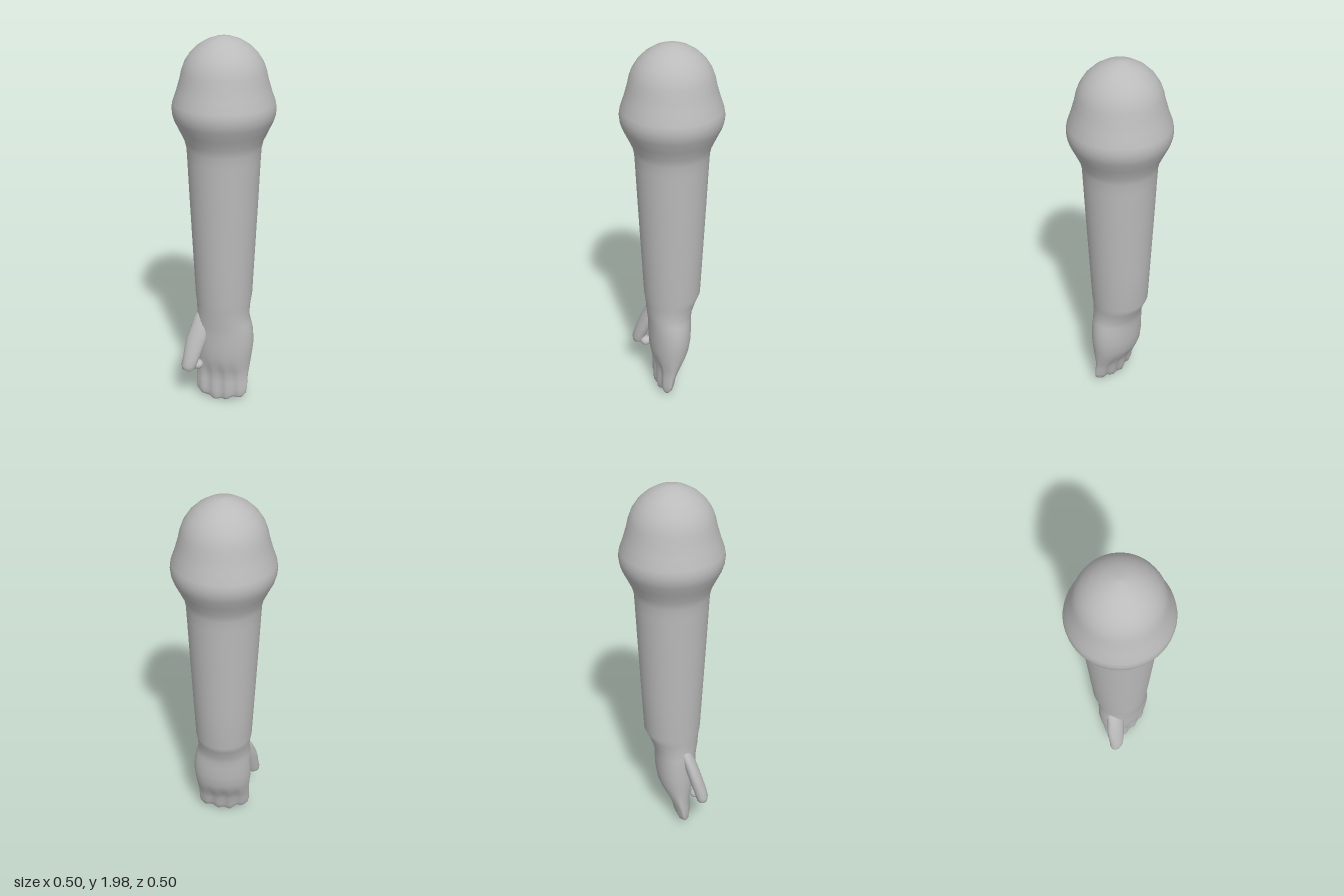
import * as THREE from 'three';

// Smooth skin over rings [y, centreX, centreZ, radiusX, radiusZ], listed from bottom to top
function loft(rings, sides, bend = () => {}) {
  const pos = [], index = [], v = new THREE.Vector3();
  rings.forEach(([y, cx, cz, rx, rz]) => {
    for (let j = 0; j < sides; j++) {
      const a = (j / sides) * Math.PI * 2;
      v.set(cx + rx * Math.cos(a), y, cz + rz * Math.sin(a));
      bend(v, cz);
      pos.push(v.x, v.y, v.z);
    }
  });
  for (let i = 0; i < rings.length - 1; i++) {
    for (let j = 0; j < sides; j++) {
      const k = (j + 1) % sides;
      const a = i * sides + j, b = i * sides + k, c = a + sides, d = b + sides;
      index.push(a, c, d, a, d, b);
    }
  }
  const geo = new THREE.BufferGeometry();
  geo.setAttribute('position', new THREE.Float32BufferAttribute(pos, 3));
  geo.setIndex(index);
  geo.computeVertexNormals();
  return geo;
}

export function createModel() {
  const group = new THREE.Group();
  const grey = new THREE.MeshStandardMaterial({ color: 0xbbbbbb });
  grey.name = 'plain grey';
  const add = (name, geo) => {
    const mesh = new THREE.Mesh(geo, grey);
    mesh.name = name;
    group.add(mesh);
  };

  // Domed shoulder, flared cuff and tapering sleeve, round in section
  const sleeve = [
    [0.54, 0.139], [0.6, 0.142], [0.65, 0.149], [0.9, 0.16], [1.2, 0.173], [1.4, 0.181],
    [1.46, 0.184], [1.5, 0.193], [1.55, 0.216], [1.6, 0.24], [1.63, 0.249], [1.66, 0.252],
    [1.69, 0.247], [1.74, 0.229], [1.8, 0.211], [1.84, 0.202], [1.88, 0.187], [1.92, 0.161],
    [1.955, 0.124], [1.98, 0.083], [1.995, 0.04], [2, 0.001],
  ].map(([y, r]) => {
    // the wrist end narrows at the back
    const t = Math.max(0, (0.65 - y) / 0.11);
    return [y, 0, 0.017 * t, r, r - 0.018 * t];
  });

  // Palm flattening into four webbed fingers
  const hand = [
    [0.035, 0, 0.066, 0.001, 0.001], [0.035, 0, 0.066, 0.08, 0.009], [0.04, 0, 0.063, 0.118, 0.022],
    [0.055, 0, 0.058, 0.136, 0.034], [0.09, 0, 0.053, 0.142, 0.042], [0.14, 0, 0.047, 0.142, 0.046],
    [0.18, 0, 0.038, 0.143, 0.056], [0.22, 0.003, 0.032, 0.145, 0.072], [0.26, 0.005, 0.026, 0.148, 0.09],
    [0.31, 0.006, 0.021, 0.153, 0.104], [0.38, 0.008, 0.018, 0.158, 0.111], [0.45, 0.007, 0.017, 0.154, 0.112],
    [0.5, 0.002, 0.018, 0.148, 0.115],
  ];
  // Finger grooves and uneven tips, fading out towards the knuckles
  const shapeFingers = (v, cz) => {
    const fade = THREE.MathUtils.clamp((0.27 - v.y) / 0.15, 0, 1);
    const tips = THREE.MathUtils.clamp((0.16 - v.y) / 0.11, 0, 1);
    const ridge = Math.cos(((v.x + 0.105) / 0.07) * Math.PI * 2);
    v.z = cz + (v.z - cz) * (1 + 0.16 * fade * ridge);
    v.y += tips * (0.03 * Math.min(1, Math.abs(v.x + 0.01) / 0.1) - 0.02 - 0.005 * ridge);
  };
  add('armAndHand', loft([...hand, ...sleeve], 48, shapeFingers));

  // Thumb standing forward and out from the palm
  add('thumb', loft([
    [0.232, -0.158, 0.148, 0.001, 0.001], [0.234, -0.16, 0.149, 0.022, 0.018], [0.245, -0.16, 0.15, 0.036, 0.029],
    [0.27, -0.158, 0.148, 0.041, 0.034], [0.31, -0.147, 0.137, 0.045, 0.036], [0.36, -0.137, 0.121, 0.051, 0.037],
    [0.42, -0.123, 0.102, 0.055, 0.036], [0.48, -0.105, 0.082, 0.052, 0.034], [0.54, -0.092, 0.06, 0.045, 0.028],
    [0.58, -0.085, 0.05, 0.001, 0.001],
  ], 20));

  // Small fold where the thumb tip curls towards the palm
  const curl = new THREE.SphereGeometry(1, 16, 10);
  curl.scale(0.03, 0.026, 0.03);
  curl.translate(-0.118, 0.258, 0.118);
  add('thumbCurl', curl);

  return group;
}
